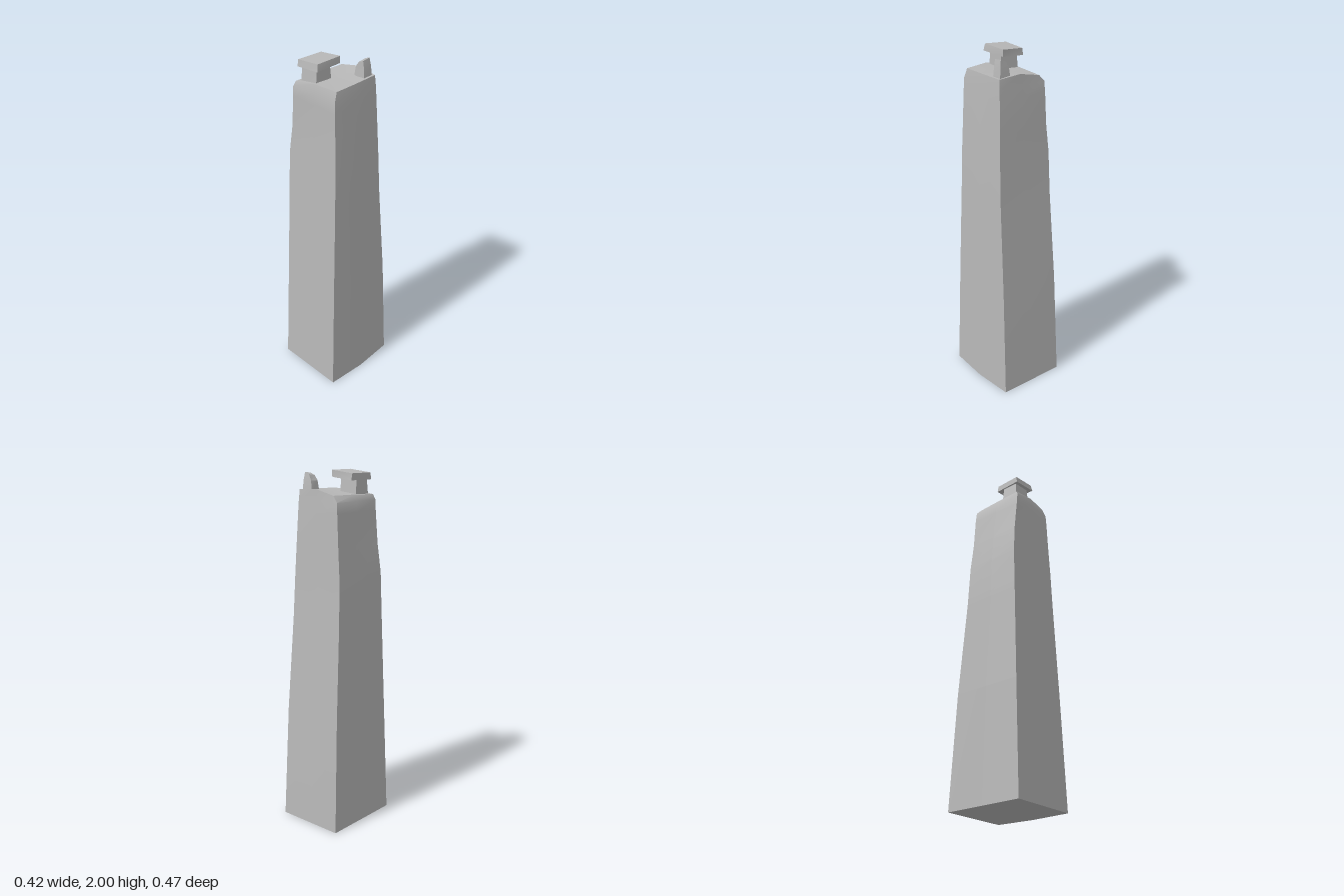
import * as THREE from 'three';
import { toCreasedNormals } from 'three/addons/utils/BufferGeometryUtils.js';

// Skin a stack of rings (counterclockwise seen from above) and close both ends.
function loft(rings, crease) {
  const n = rings[0].length, pos = [];
  const tri = (...pts) => pts.forEach((p) => pos.push(...p));
  for (let r = 0; r < rings.length - 1; r++) {
    const a = rings[r], b = rings[r + 1];
    for (let i = 0; i < n; i++) {
      const j = (i + 1) % n;
      tri(a[i], a[j], b[j]);
      tri(a[i], b[j], b[i]);
    }
  }
  const centre = (ring) => [0, 1, 2].map((k) => ring.reduce((s, p) => s + p[k], 0) / n);
  const low = rings[0], high = rings[rings.length - 1];
  const lowC = centre(low), highC = centre(high);
  for (let i = 0; i < n; i++) {
    const j = (i + 1) % n;
    tri(lowC, low[j], low[i]);
    tri(highC, high[i], high[j]);
  }
  const g = new THREE.BufferGeometry();
  g.setAttribute('position', new THREE.Float32BufferAttribute(pos, 3));
  return toCreasedNormals(g, crease);
}

// Eight-point ring from front-left, front-right, back-right, back-left corners.
function shaftRing([y, corners, bulge]) {
  const ring = [];
  corners.forEach(([x, z], i) => {
    const [nx, nz] = corners[(i + 1) % 4];
    ring.push([x, y, z]);
    ring.push([(x + nx) / 2 + (i === 1 ? bulge : 0), y, (z + nz) / 2]);
  });
  return ring;
}

export function createModel() {
  const model = new THREE.Group();
  const stone = new THREE.MeshStandardMaterial({ color: 0xb8b8b8 });
  stone.name = 'grey stone';
  const add = (name, rings, crease) => {
    const mesh = new THREE.Mesh(loft(rings, crease), stone);
    mesh.name = name;
    model.add(mesh);
  };

  // Tapering shaft: height, corners (x, z), outward bulge of the right-hand wall
  const levels = [
    [0, [[-0.213, 0.235], [0.2, 0.235], [0.193, -0.229], [-0.207, -0.237]], 0.015],
    [0.65, [[-0.198, 0.212], [0.187, 0.212], [0.183, -0.198], [-0.19, -0.206]], 0.012],
    [1.2, [[-0.185, 0.193], [0.175, 0.19], [0.17, -0.158], [-0.172, -0.166]], 0.01],
    [1.44, [[-0.18, 0.185], [0.17, 0.182], [0.164, -0.147], [-0.165, -0.156]], 0.009],
    [1.6, [[-0.162, 0.176], [0.164, 0.176], [0.158, -0.14], [-0.15, -0.148]], 0.007],
    [1.78, [[-0.144, 0.179], [0.156, 0.172], [0.152, -0.131], [-0.14, -0.145]], 0.004],
    [1.84, [[-0.14, 0.18], [0.153, 0.169], [0.15, -0.127], [-0.135, -0.142]], 0.003],
  ];
  const roof = [
    [-0.13, 1.868, 0.17], [0.01, 1.893, 0.165], [0.147, 1.892, 0.15], [0.15, 1.895, 0.03],
    [0.147, 1.897, -0.122], [0.02, 1.905, -0.134], [-0.105, 1.875, -0.135], [-0.118, 1.873, 0.03],
  ];
  add('shaft', [...levels.map(shaftRing), roof], 0.6);

  // Neck under the large cap
  add('capNeck', [
    [[-0.112, 1.86, 0.15], [0, 1.88, 0.15], [0, 1.88, 0.045], [-0.112, 1.86, 0.045]],
    [[-0.107, 1.96, 0.142], [-0.002, 1.97, 0.142], [-0.002, 1.97, 0.053], [-0.107, 1.96, 0.053]],
  ], 0.4);

  // Slightly tilted slab on the neck
  add('capSlab', [
    [[-0.122, 1.948, 0.163], [0.027, 1.962, 0.165], [0.022, 1.962, 0.004], [-0.113, 1.948, 0.005]],
    [[-0.12, 1.985, 0.158], [0.021, 2, 0.158], [0.022, 2, 0.003], [-0.111, 1.985, 0.01]],
  ], 0.4);

  // Small tapered stub in the back corner
  add('cornerStub', [
    [[0.065, 1.88, -0.052], [0.135, 1.88, -0.054], [0.135, 1.88, -0.113], [0.067, 1.88, -0.113]],
    [[0.075, 1.945, -0.057], [0.13, 1.945, -0.058], [0.13, 1.945, -0.109], [0.075, 1.945, -0.109]],
    [[0.094, 1.972, -0.058], [0.123, 1.984, -0.058], [0.123, 1.99, -0.104], [0.094, 1.978, -0.104]],
  ], 0.4);

  return model;
}
